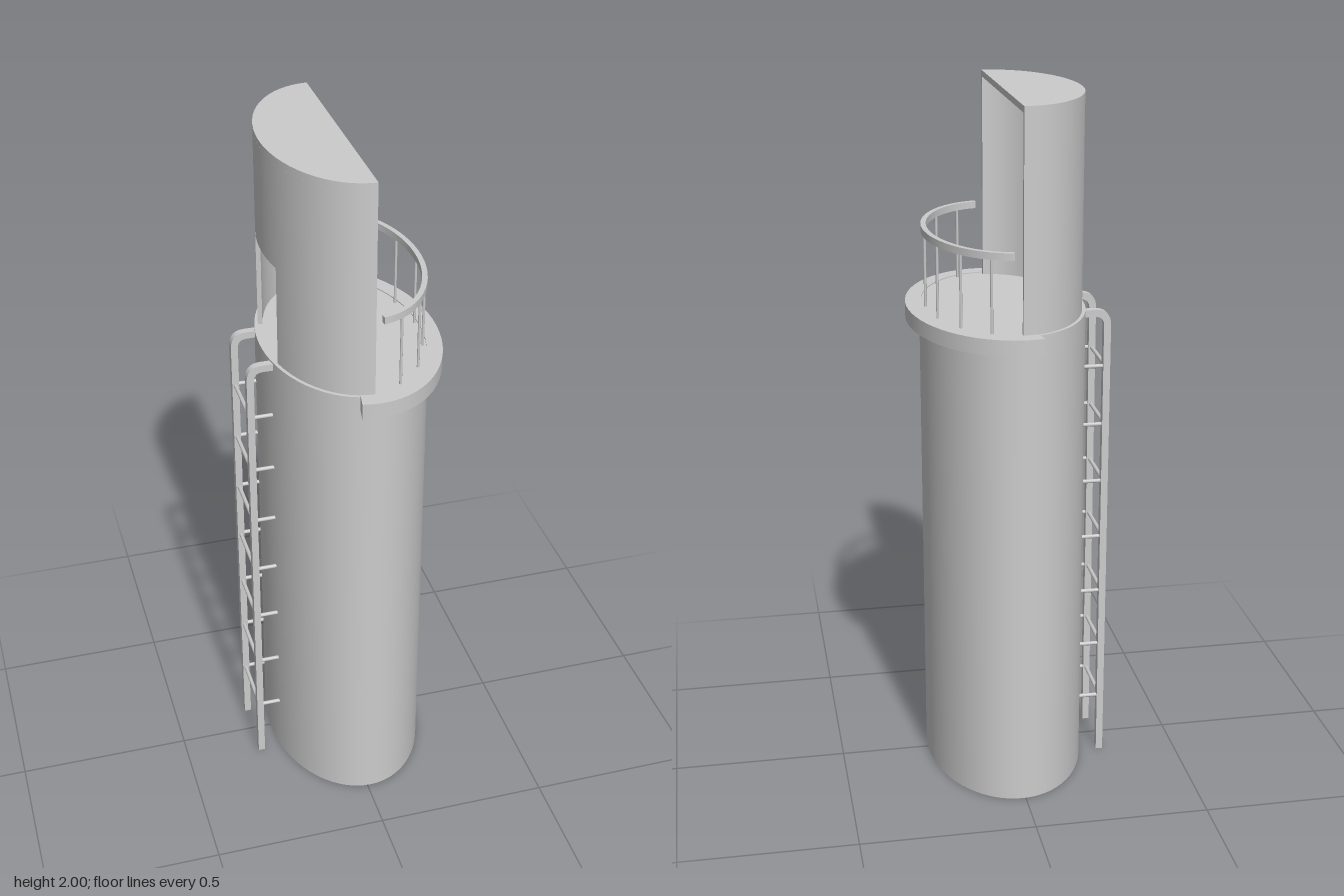
import * as THREE from 'three';
import { toCreasedNormals } from 'three/addons/utils/BufferGeometryUtils.js';

const CX = 0.01; // x of the axis shared by all ellipses
const rad = THREE.MathUtils.degToRad;
const material = new THREE.MeshStandardMaterial({ color: 0xcccccc });

function add(parent, name, geometry, x = 0, y = 0, z = 0) {
  const mesh = new THREE.Mesh(geometry, material);
  mesh.name = name;
  mesh.position.set(x, y, z);
  parent.add(mesh);
  return mesh;
}

// Points on an ellipse from angle a to b (degrees, 0 = +x)
function arc(rx, rz, a, b) {
  const n = Math.max(2, Math.round(Math.abs(b - a) / 5.625));
  return Array.from({ length: n + 1 }, (_, i) => {
    const t = rad(a + ((b - a) * i) / n);
    return new THREE.Vector2(CX + rx * Math.cos(t), rz * Math.sin(t));
  });
}

// Upright prism over an outline, with smooth normals along the curved walls
function prism(points, y0, y1, rx, rz) {
  const g = new THREE.ExtrudeGeometry(new THREE.Shape(points), { depth: y1 - y0, bevelEnabled: false });
  g.rotateX(-Math.PI / 2).translate(0, y0, 0);
  const p = g.attributes.position, n = g.attributes.normal;
  const face = new THREE.Vector3(), smooth = new THREE.Vector3();
  for (let i = 0; i < p.count; i++) {
    face.fromBufferAttribute(n, i);
    smooth.set((p.getX(i) - CX) / rx ** 2, 0, p.getZ(i) / rz ** 2).normalize();
    const d = face.dot(smooth);
    if (Math.abs(d) > 0.9) {
      smooth.multiplyScalar(Math.sign(d));
      n.setXYZ(i, smooth.x, smooth.y, smooth.z);
    }
  }
  return g;
}

// Curved band of given wall thickness
function band(rx, rz, wall, a, b, y0, y1) {
  const outline = [...arc(rx, rz, a, b), ...arc(rx - wall, rz - wall, b, a)];
  return prism(outline, y0, y1, rx, rz);
}

export function createModel() {
  const model = new THREE.Group();
  model.name = 'tower';

  // Oval tower body
  add(model, 'body', prism(arc(0.23, 0.345, 0, 360).slice(0, -1), 0, 1.397, 0.23, 0.345));

  // Balcony ledge wrapping the open side
  add(model, 'balcony', band(0.27, 0.387, 0.045, -100.5, 100.5, 1.355, 1.4));

  // Half-oval cabin: two walls, a lintel over the doorway and a roof
  const cabin = new THREE.Group();
  cabin.name = 'cabin';
  model.add(cabin);
  const door = 19.7, doorTop = 1.685, roofBottom = 1.982;
  add(cabin, 'wallFront', band(0.22, 0.335, 0.013, 90, 180 - door, 1.395, roofBottom));
  add(cabin, 'wallBack', band(0.22, 0.335, 0.013, 180 + door, 270, 1.395, roofBottom));
  add(cabin, 'lintel', band(0.22, 0.335, 0.013, 180 - door, 180 + door, doorTop, roofBottom));
  add(cabin, 'roof', prism(arc(0.22, 0.335, 90, 270), roofBottom, 2, 0.22, 0.335));

  // Curved handrail on thin posts
  const railing = new THREE.Group();
  railing.name = 'railing';
  model.add(railing);
  add(railing, 'handrail', band(0.223, 0.333, 0.015, -84, 84, 1.6, 1.62));
  for (let i = -3; i <= 3; i++) {
    const t = rad(i * 22.8);
    const post = new THREE.CylinderGeometry(0.004, 0.004, 0.215, 8);
    add(railing, 'post', post, CX + 0.216 * Math.cos(t), 1.5, 0.325 * Math.sin(t));
  }

  // Ladder: rails bent over at the top, rungs and wall brackets
  const ladder = new THREE.Group();
  ladder.name = 'ladder';
  model.add(ladder);
  const profile = new THREE.Shape();
  profile.moveTo(-0.283, 0);
  profile.lineTo(-0.263, 0);
  profile.lineTo(-0.263, 1.345);
  profile.quadraticCurveTo(-0.263, 1.372, -0.236, 1.372);
  profile.lineTo(-0.203, 1.372);
  profile.lineTo(-0.203, 1.392);
  profile.lineTo(-0.24, 1.392);
  profile.quadraticCurveTo(-0.283, 1.392, -0.283, 1.345);
  const railGeometry = toCreasedNormals(
    new THREE.ExtrudeGeometry(profile, { depth: 0.022, bevelEnabled: false, curveSegments: 8 }), 0.6);
  for (const side of [-1, 1]) add(ladder, 'ladderRail', railGeometry, 0, 0, side * 0.094 - 0.011);
  for (let i = 0; i < 7; i++) {
    const y = 0.18 + i * 0.174;
    const rung = new THREE.CylinderGeometry(0.006, 0.006, 0.18, 8).rotateX(Math.PI / 2);
    add(ladder, 'rung', rung, -0.273, y, 0);
    for (const side of [-1, 1]) {
      const bracket = new THREE.CylinderGeometry(0.006, 0.006, 0.068, 8).rotateZ(Math.PI / 2);
      add(ladder, 'bracket', bracket, -0.236, y, side * 0.094);
    }
  }

  return model;
}
